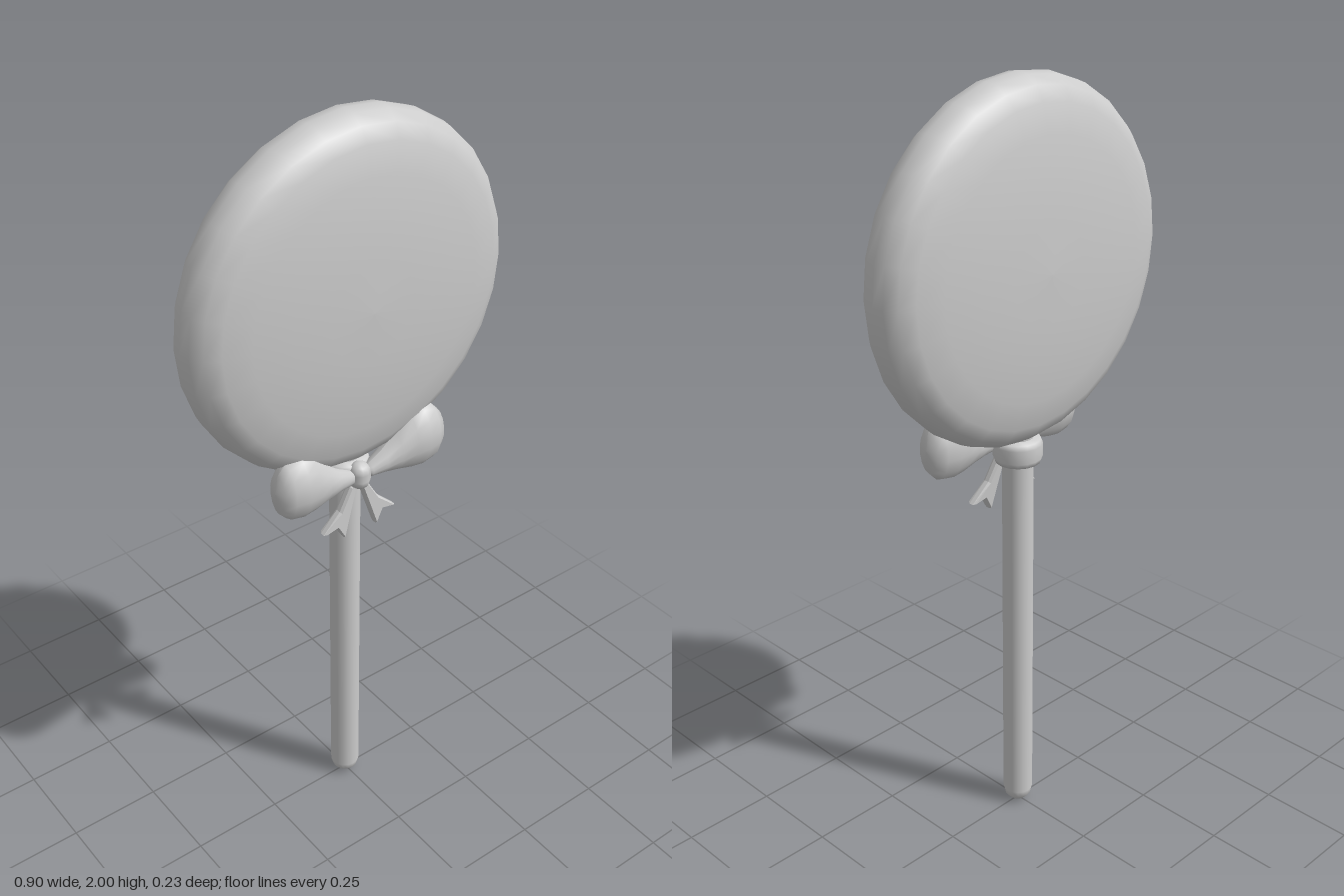
import * as THREE from 'three';

const grey = new THREE.MeshStandardMaterial({ color: 0xcccccc });
grey.name = 'plain grey';

const points = (list) => list.map(([x, y]) => new THREE.Vector2(x, y));

function addPart(group, name, geometry) {
  const mesh = new THREE.Mesh(geometry, grey);
  mesh.name = name;
  group.add(mesh);
  return mesh;
}

// Bow loop: rings from the outer end to the knot, as [x, bottom, top, z centre, half depth]
function bowLoop(side) {
  const stations = [
    [0.252, 1.125, 1.125, 0.06, 0],
    [0.245, 1.065, 1.175, 0.06, 0.032],
    [0.222, 1.042, 1.2, 0.06, 0.047],
    [0.185, 1.036, 1.21, 0.06, 0.055],
    [0.15, 1.04, 1.195, 0.06, 0.049],
    [0.11, 1.05, 1.155, 0.06, 0.039],
    [0.07, 1.057, 1.122, 0.06, 0.029],
    [0.03, 1.06, 1.1, 0.06, 0.02],
    [0.01, 1.08, 1.08, 0.06, 0],
  ];
  const around = 14;
  const g = new THREE.SphereGeometry(1, around, stations.length - 1);
  g.rotateZ(-Math.PI / 2);
  const p = g.attributes.position;
  for (let i = 0; i < p.count; i++) {
    const [x, low, high, zc, depth] = stations[Math.floor(i / (around + 1))];
    const y = p.getY(i), z = p.getZ(i), r = Math.hypot(y, z) || 1;
    p.setXYZ(i, side * x, (low + high) / 2 + ((high - low) / 2) * (y / r), zc + side * depth * (z / r));
  }
  g.computeVertexNormals();
  return g;
}

// Swallow-tailed ribbon end, leaning forward at its tips
function ribbonTail(side) {
  const outline = [[0, 1.06], [0.025, 1.045], [0.06, 0.985], [0.112, 0.937], [0.072, 0.942], [0.05, 0.905], [0.03, 0.965], [0.008, 1.035]];
  const shape = new THREE.Shape(points(outline.map(([x, y]) => [side * x, y])));
  const g = new THREE.ExtrudeGeometry(shape, { depth: 0.012, bevelEnabled: true, bevelThickness: 0.007, bevelSize: 0.004, bevelOffset: -0.004, bevelSegments: 1 });
  const p = g.attributes.position;
  for (let i = 0; i < p.count; i++) p.setZ(i, p.getZ(i) + 0.045 + 0.06 * (1 - p.getY(i)));
  g.computeVertexNormals();
  return g;
}

export function createModel() {
  const group = new THREE.Group();
  group.name = 'lollipop';

  // Round candy with a thick rim and gently domed faces
  const half = [[0, 0.113], [0.12, 0.11], [0.22, 0.104], [0.32, 0.092], [0.39, 0.078], [0.425, 0.058], [0.445, 0.03]];
  const profile = [...half.map(([r, z]) => [r, -z]), [0.45, 0], ...half.slice().reverse()];
  const candy = addPart(group, 'candy', new THREE.LatheGeometry(points(profile), 28));
  candy.rotation.x = Math.PI / 2;
  candy.position.y = 1.55;

  // Stick with a rounded foot
  addPart(group, 'stick', new THREE.LatheGeometry(points([
    [0, 0], [0.022, 0.006], [0.035, 0.02], [0.04, 0.04], [0.04, 1.14],
  ]), 16));

  // Ribbon band around the top of the stick
  addPart(group, 'ribbonBand', new THREE.LatheGeometry(points([
    [0.038, 1.04], [0.058, 1.042], [0.063, 1.055], [0.063, 1.09], [0.058, 1.103], [0.038, 1.108],
  ]), 16));

  // Knot
  const knot = new THREE.CapsuleGeometry(0.028, 0.02, 4, 10);
  knot.translate(0, 1.075, 0.06);
  addPart(group, 'knot', knot);

  // Loops and tails on both sides
  for (const [side, label] of [[1, 'left'], [-1, 'right']]) {
    addPart(group, label + 'BowLoop', bowLoop(side));
    addPart(group, label + 'RibbonTail', ribbonTail(side));
  }
  return group;
}
